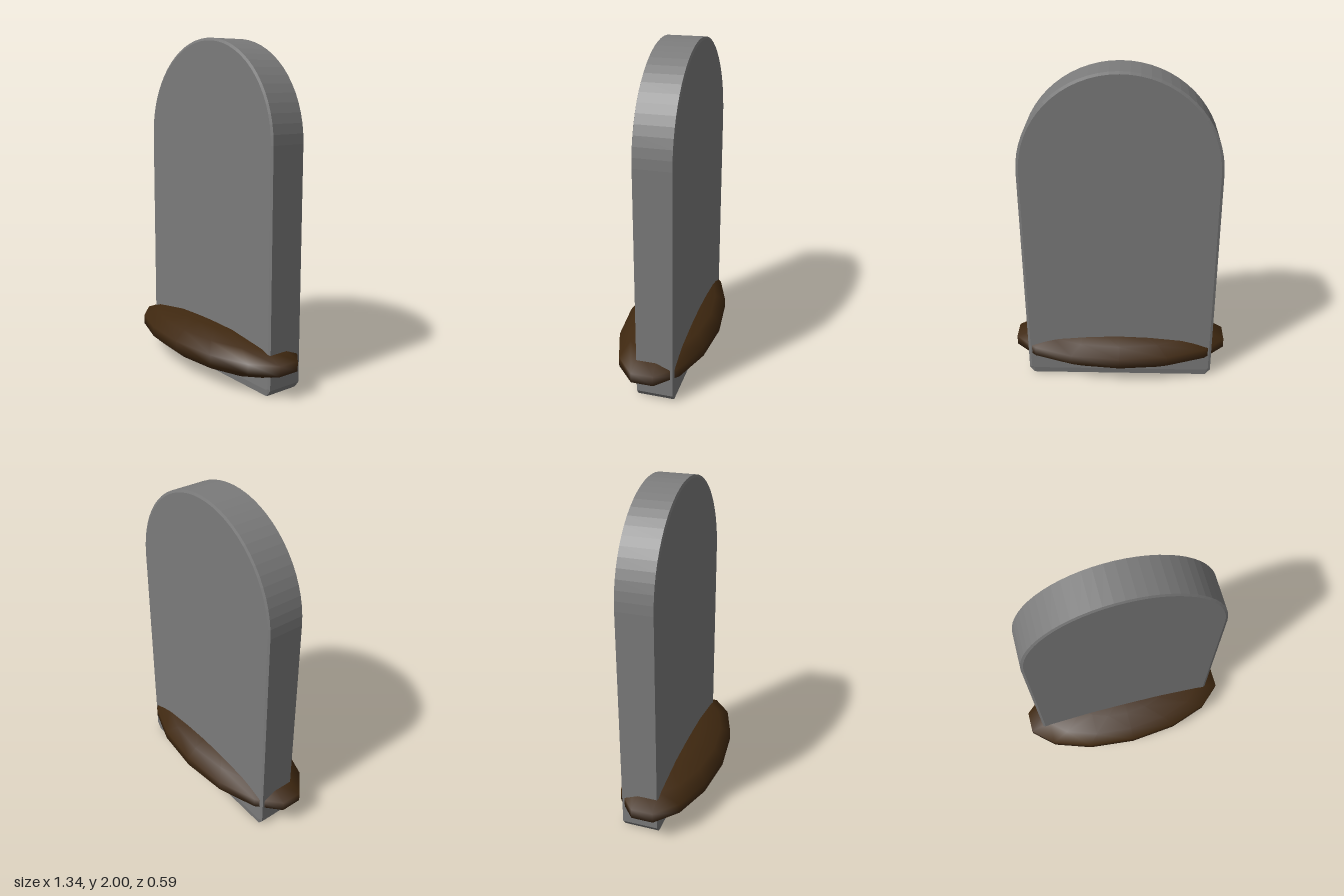
import * as THREE from 'three';

// Round-topped slab outline, counter-clockwise from the bottom left
function outline(halfWidth, bottomHalf, bottomY, sideY) {
  const pts = [[-bottomHalf, bottomY], [bottomHalf, bottomY], [halfWidth, sideY]];
  const steps = 32;
  for (let i = 0; i <= steps; i++) {
    const a = (i / steps) * Math.PI;
    pts.push([Math.cos(a) * halfWidth, 1.415 + Math.sin(a) * halfWidth]);
  }
  pts.push([-halfWidth, sideY]);
  return pts;
}

// Slab skinned through four outlines from back to front, capped at both ends
function slabGeometry() {
  const outer = outline(0.585, 0.555, 0, 0.04);
  const face = outline(0.57, 0.555, 0.04, 0.05);
  const layers = [[face, -0.165], [outer, -0.159], [outer, 0.059], [face, 0.065]];
  const n = outer.length;
  const pos = [];
  const put = (layer, i) => {
    const [pts, z] = layers[layer];
    const p = pts[i % n];
    pos.push(p[0], p[1], z);
  };
  for (let l = 0; l < 3; l++) {
    for (let i = 0; i < n; i++) {
      put(l, i); put(l, i + 1); put(l + 1, i + 1);
      put(l, i); put(l + 1, i + 1); put(l + 1, i);
    }
  }
  // Convex caps as fans
  for (let i = 1; i < n - 1; i++) {
    put(3, 0); put(3, i); put(3, i + 1);
    put(0, 0); put(0, i + 1); put(0, i);
  }
  const geo = new THREE.BufferGeometry();
  geo.setAttribute('position', new THREE.Float32BufferAttribute(pos, 3));
  geo.computeVertexNormals();
  return geo;
}

export function createModel() {
  const stone = new THREE.MeshStandardMaterial({ color: 0x7b7b7b });
  stone.name = 'stone grey';
  const soil = new THREE.MeshStandardMaterial({ color: 0x3f2810 });
  soil.name = 'soil brown';

  const group = new THREE.Group();
  group.name = 'gravestone';

  // Upright slab
  const slab = new THREE.Mesh(slabGeometry(), stone);
  slab.name = 'headstone';
  group.add(slab);

  // Flattened mound of earth around the foot
  const moundGeo = new THREE.SphereGeometry(1, 14, 7);
  moundGeo.rotateY(Math.PI / 2);
  moundGeo.scale(0.705, 0.135, 0.305);
  const mound = new THREE.Mesh(moundGeo, soil);
  mound.name = 'earthMound';
  mound.position.set(0, 0.185, -0.002);
  group.add(mound);

  return group;
}
